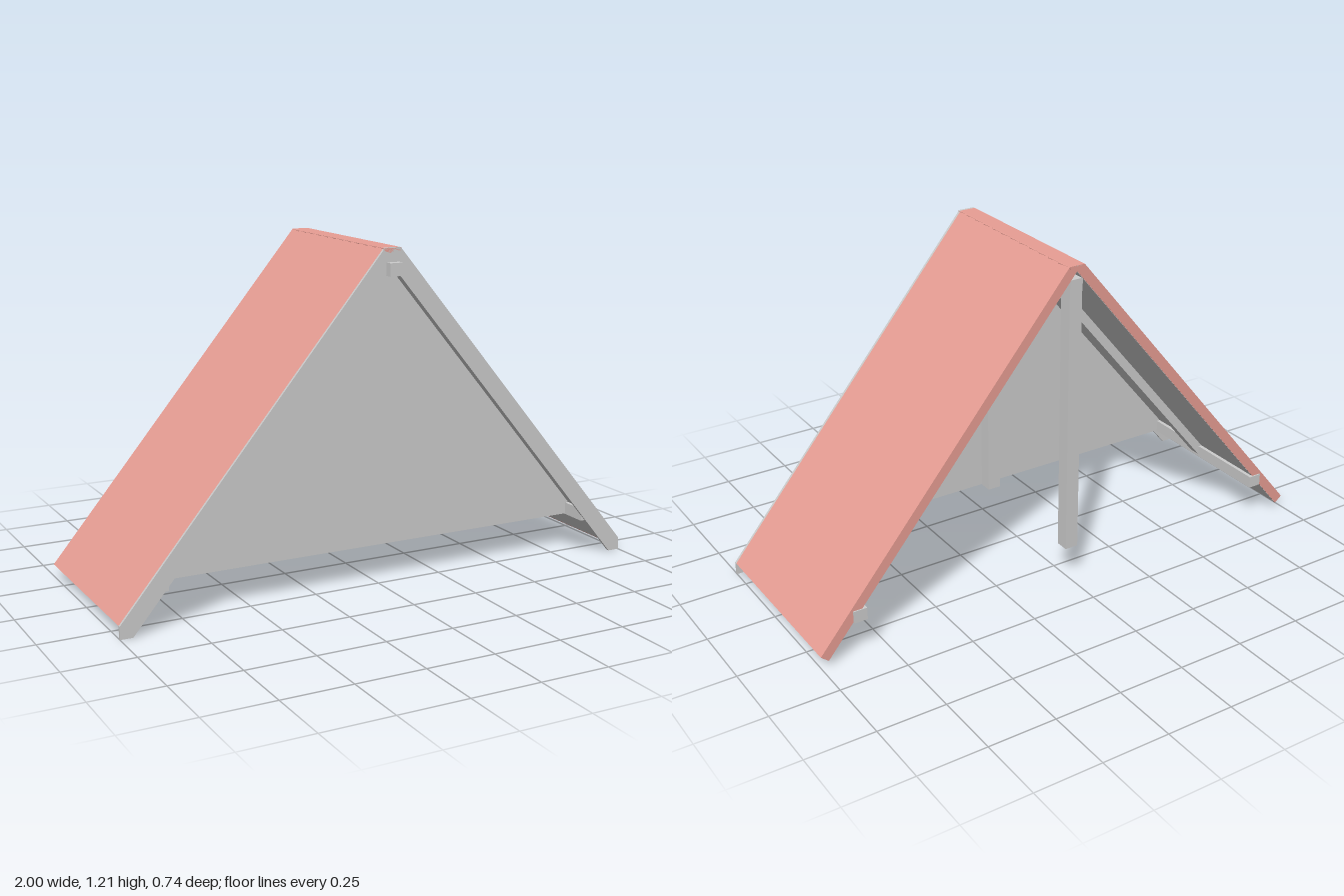
import * as THREE from 'three';

const grey = new THREE.MeshStandardMaterial({ color: 0xcccccc });
const tileRed = new THREE.MeshStandardMaterial({ color: 0xe89e94 });

// Roof slope: the outer surface follows y = TOP - SLOPE * x
const SLOPE = 1.2, TOP = 1.245;
const BACK = -0.365;

export function createModel() {
  const group = new THREE.Group();

  const add = (name, geometry, material = grey) => {
    const mesh = new THREE.Mesh(geometry, material);
    mesh.name = name;
    group.add(mesh);
    return mesh;
  };

  // Box given by its limits on each axis
  const beam = (name, x0, x1, y0, y1, z0, z1) =>
    add(name, new THREE.BoxGeometry(x1 - x0, y1 - y0, z1 - z0))
      .position.set((x0 + x1) / 2, (y0 + y1) / 2, (z0 + z1) / 2);

  // Front outline pushed from z0 to z1
  const slab = (name, points, z0, z1, material) => {
    const shape = new THREE.Shape(points.map(([x, y]) => new THREE.Vector2(x, y)));
    const geometry = new THREE.ExtrudeGeometry(shape, { depth: z1 - z0, bevelEnabled: false });
    add(name, geometry, material).position.z = z0;
  };

  // Half outline completed by its mirror image
  const mirrored = (half) =>
    [...half, ...half.filter(([x]) => x > 0).reverse().map(([x, y]) => [-x, y])];

  // Height of a line parallel to the roof, dropped straight down from it
  const under = (x, drop) => TOP - drop - SLOPE * x;

  for (const s of [1, -1]) {
    const side = s > 0 ? 'left' : 'right';
    const flip = (points) => points.map(([x, y]) => [s * x, y]);

    // Roof covering with a grey lining below it
    slab(side + 'RoofCovering', flip([
      [1, 0.045], [0.03, 1.209], [0, 1.209], [0, under(0, 0.056)], [0.972, 0.022],
    ]), BACK, 0.328, tileRed);
    slab(side + 'RoofLining', flip([
      [0.968, under(0.968, 0.054)], [0, under(0, 0.054)],
      [0, under(0, 0.058)], [0.968, under(0.968, 0.058)],
    ]), BACK + 0.002, 0.328);

    // Rafter halfway along the roof
    slab(side + 'Rafter', flip([
      [0.87, under(0.87, 0.057)], [0, under(0, 0.057)],
      [0, under(0, 0.11)], [0.825, under(0.825, 0.11)], [0.87, 0.14],
    ]), -0.06, -0.015);

    // Wall plate carrying the rafter foot
    const x = s * 0.85;
    beam(side + 'WallPlate', x - 0.025, x + 0.025, 0.135, 0.18, -0.37, 0.331);
  }

  // Barge boards along the front edge
  slab('bargeBoards', mirrored([
    [0, 1.147], [0.955, 0], [1, 0], [1, 0.045], [0.03, 1.209],
  ]), 0.328, 0.338);

  // Recessed gable wall
  slab('gableWall', mirrored([
    [0.835, 0.137], [0.835, 0.187], [0, 1.187],
  ]), 0.21, 0.23);

  // Ridge beam and the posts below it
  beam('ridgeBeam', -0.025, 0.025, 1.115, 1.16, BACK + 0.003, 0.365);
  beam('backPost', -0.025, 0.025, 0.135, 1.12, -0.36, -0.31);
  beam('frontPost', -0.025, 0.025, 0.135, 1.12, 0.16, 0.21);

  // Overlapping tapered ridge tiles
  const count = 12, step = 0.7 / count;
  const tile = new THREE.CylinderGeometry(0.035, 0.031, step + 0.006, 10, 1, false, -Math.PI / 2, Math.PI);
  tile.rotateX(Math.PI / 2);
  tile.scale(1, 0.5, 1);
  for (let i = 0; i < count; i++) {
    add('ridgeTile', tile, tileRed).position.set(0, 1.2075, 0.335 - step * (i + 0.5));
  }
  // Flat bed closing the underside of the ridge tiles
  beam('ridgeBed', -0.03, 0.03, 1.2, 1.208, BACK, 0.328);

  return group;
}
